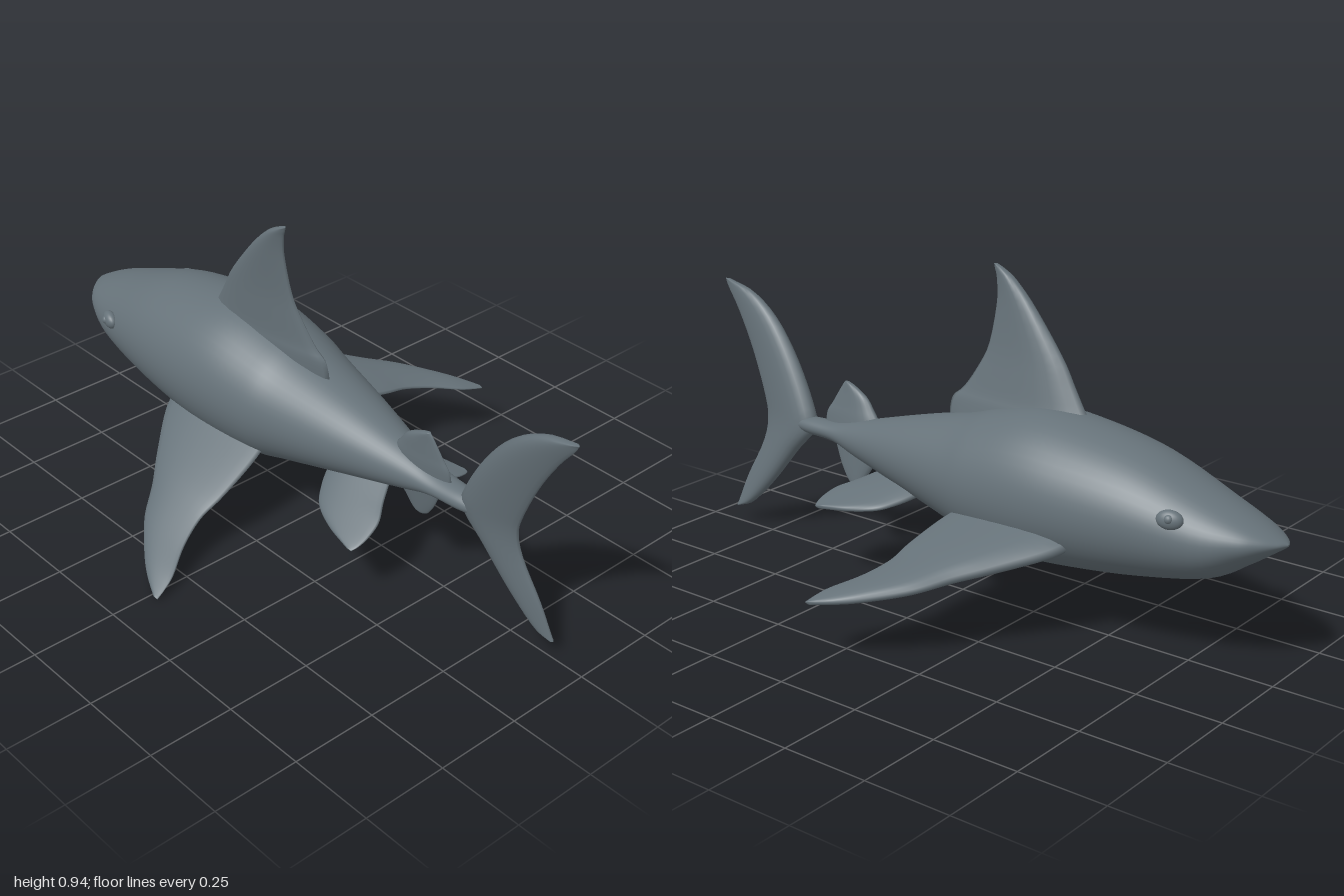
import * as THREE from 'three';

const skin = new THREE.MeshStandardMaterial({ color: 0x667279 });
skin.name = 'slate skin';

// Skins a list of closed rings and caps both ends with a fan
function loft(rings) {
  const n = rings[0].length;
  const index = [];
  for (let i = 0; i < rings.length - 1; i++) {
    for (let j = 0; j < n; j++) {
      const a = i * n + j, b = i * n + (j + 1) % n;
      index.push(a, b, b + n, a, b + n, a + n);
    }
  }
  const last = (rings.length - 1) * n;
  for (let j = 1; j < n - 1; j++) {
    index.push(0, j + 1, j, last, last + j, last + j + 1);
  }
  const geometry = new THREE.BufferGeometry().setFromPoints(rings.flat());
  geometry.setIndex(index);
  geometry.computeVertexNormals();
  return geometry;
}

function smooth(points) {
  return new THREE.CatmullRomCurve3(points.map(p => new THREE.Vector3(...p)), false, 'catmullrom', 0.5);
}

function part(name, geometry) {
  const mesh = new THREE.Mesh(geometry, skin);
  mesh.name = name;
  return mesh;
}

// Fin growing along +y; sections are [span, leading z, trailing z]
function fin(name, sections, thickness) {
  const curve = smooth(sections);
  const rings = [];
  const steps = 32, sides = 20;
  for (let i = 0; i <= steps; i++) {
    const t = i / steps;
    const { x: span, y: lead, z: trail } = curve.getPoint(t);
    const middle = (lead + trail) / 2, half = Math.max((trail - lead) / 2, 0.002);
    const ring = [];
    for (let j = 0; j < sides; j++) {
      const a = j / sides * Math.PI * 2;
      // Blunt leading edge, thin trailing edge
      const x = thickness(t) / 2 * Math.sin(a) * (1 - 0.4 * Math.cos(a));
      ring.push(new THREE.Vector3(x, span, middle + half * Math.cos(a)));
    }
    rings.push(ring);
  }
  return part(name, loft(rings));
}

const taper = (root, tip) => t => root + (tip - root) * t;

function body() {
  // [z, top, bottom, half width] from snout to tail root
  const stations = [
    [-1, 0.003, -0.003, 0.004], [-0.985, 0.012, -0.015, 0.035], [-0.95, 0.03, -0.04, 0.075],
    [-0.9, 0.052, -0.075, 0.11], [-0.8, 0.092, -0.133, 0.148], [-0.6, 0.167, -0.176, 0.19],
    [-0.4, 0.205, -0.202, 0.212], [-0.25, 0.213, -0.212, 0.212], [-0.1, 0.182, -0.202, 0.194],
    [0, 0.15, -0.175, 0.17], [0.2, 0.1, -0.122, 0.12], [0.4, 0.045, -0.072, 0.065],
    [0.5, 0.02, -0.042, 0.045], [0.6, 0.015, -0.038, 0.036], [0.65, 0.008, -0.03, 0.025],
    [0.665, -0.005, -0.015, 0.005],
  ];
  const heights = smooth(stations.map(s => [s[0], s[1], s[2]]));
  const widths = smooth(stations.map(s => [s[0], s[3], 0]));
  const rings = [];
  const steps = 75, sides = 48;
  for (let i = 0; i <= steps; i++) {
    const { x: z, y: top, z: bottom } = heights.getPoint(i / steps);
    const width = widths.getPoint(i / steps).y;
    const ring = [];
    for (let j = 0; j < sides; j++) {
      const a = j / sides * Math.PI * 2;
      ring.push(new THREE.Vector3(width * Math.cos(a),
        (top + bottom) / 2 + (top - bottom) / 2 * Math.sin(a), z));
    }
    rings.push(ring);
  }
  return part('body', loft(rings));
}

export function createModel() {
  const model = new THREE.Group();
  const fish = new THREE.Group();
  fish.name = 'shark';
  model.add(fish);
  fish.add(body());

  // Fins on the centre line
  fish.add(fin('dorsalFin', [
    [0.08, -0.42, 0.08], [0.13, -0.41, 0.092], [0.178, -0.39, 0.085], [0.21, -0.365, 0.05],
    [0.27, -0.325, 0.01], [0.345, -0.275, -0.025], [0.465, -0.17, -0.04],
    [0.53, -0.1, -0.033], [0.555, -0.06, -0.024], [0.568, -0.03, -0.02],
  ], taper(0.1, 0.012)));
  fish.add(fin('rearDorsalFin', [
    [-0.02, 0.32, 0.55], [0.04, 0.345, 0.55], [0.075, 0.37, 0.53],
    [0.11, 0.4, 0.51], [0.135, 0.445, 0.495], [0.146, 0.475, 0.487],
  ], taper(0.05, 0.01)));
  fish.add(fin('analFin', [
    [-0.155, 0.415, 0.435], [-0.145, 0.395, 0.45], [-0.11, 0.37, 0.475],
    [-0.07, 0.345, 0.495], [-0.03, 0.33, 0.51], [0, 0.32, 0.5],
  ], taper(0.01, 0.045)));
  fish.add(fin('tailFin', [
    [-0.325, 0.885, 0.897], [-0.3, 0.83, 0.887], [-0.215, 0.748, 0.855], [-0.1, 0.66, 0.8],
    [-0.02, 0.595, 0.788], [0.055, 0.615, 0.81], [0.18, 0.69, 0.87],
    [0.285, 0.78, 0.935], [0.35, 0.88, 0.985], [0.376, 0.985, 1],
  ], t => 0.012 + 0.048 * Math.sin(Math.PI * t)));

  // Paired fins and eyes
  for (const side of [1, -1]) {
    const label = side > 0 ? 'left' : 'right';

    const pectoral = fin(label + 'PectoralFin', [
      [-0.12, -0.47, -0.07], [-0.01, -0.445, -0.05], [0.123, -0.345, -0.045],
      [0.21, -0.27, -0.05], [0.299, -0.206, -0.026], [0.38, -0.115, 0.016],
      [0.425, -0.05, 0.028], [0.458, 0.015, 0.032],
    ], taper(0.075, 0.01));
    pectoral.position.set(side * 0.2, -0.125, 0);
    pectoral.rotation.z = -side * THREE.MathUtils.degToRad(111);
    fish.add(pectoral);

    const pelvic = fin(label + 'PelvicFin', [
      [-0.07, 0.11, 0.32], [0, 0.13, 0.355], [0.055, 0.155, 0.388],
      [0.105, 0.195, 0.395], [0.14, 0.27, 0.39], [0.162, 0.36, 0.38],
    ], taper(0.045, 0.01));
    pelvic.position.set(side * 0.07, -0.115, 0);
    pelvic.rotation.z = -side * THREE.MathUtils.degToRad(112.5);
    fish.add(pelvic);

    const eye = part(label + 'Eye', new THREE.SphereGeometry(1, 24, 16));
    eye.scale.set(0.02, 0.026, 0.036);
    eye.position.set(side * 0.152, 0.032, -0.742);
    eye.rotation.y = side * 0.3;
    fish.add(eye);

    const pupil = part(label + 'Pupil', new THREE.SphereGeometry(0.013, 16, 12));
    pupil.position.set(side * 0.163, 0.036, -0.745);
    fish.add(pupil);
  }

  // Whole animal banks slightly to one side
  fish.rotation.z = 0.13;
  fish.position.set(-0.04, 0.376, 0);
  return model;
}
